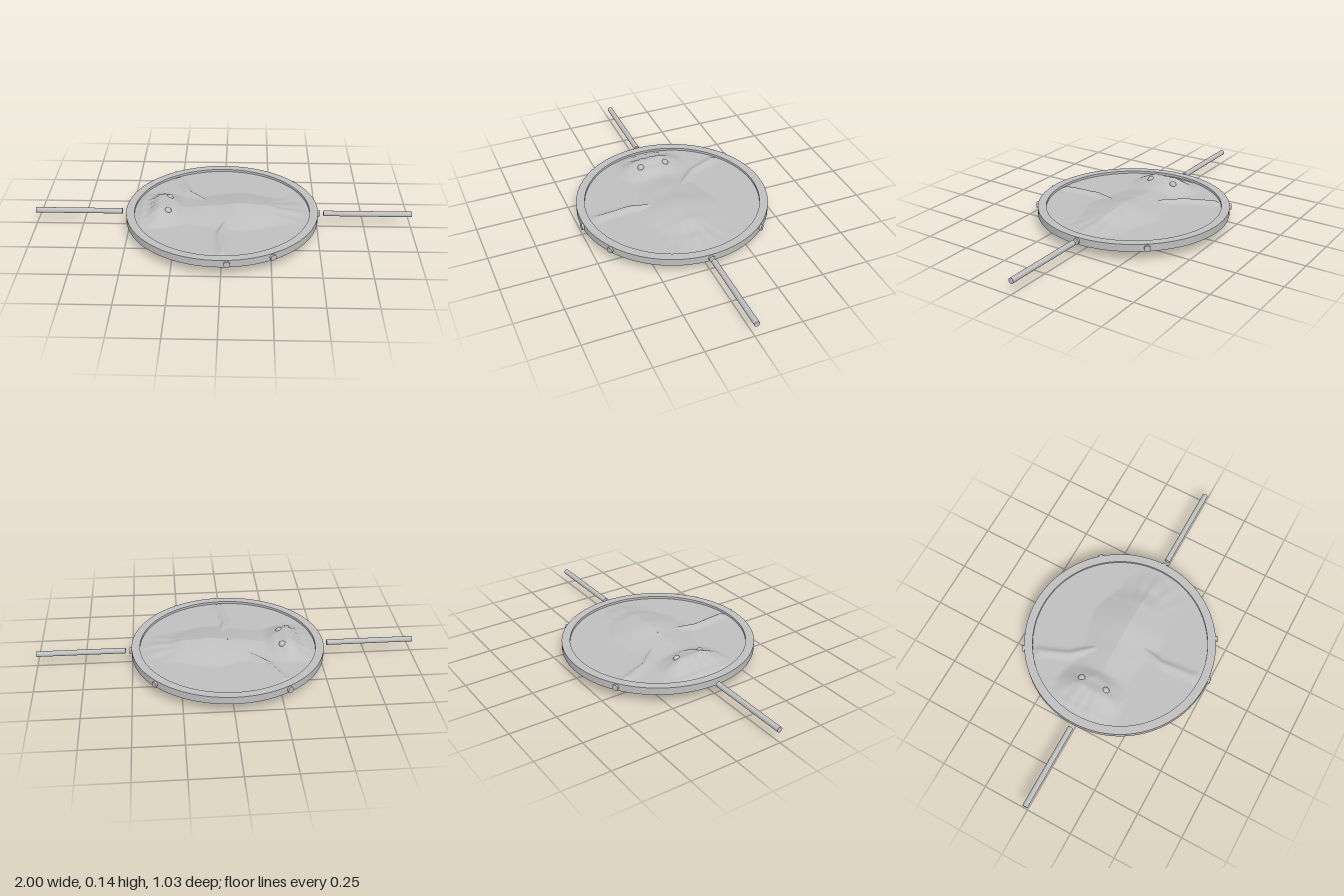
import * as THREE from 'three';

const grey = new THREE.MeshStandardMaterial({ color: 0xbfbfbf });
grey.name = 'plain grey';

const CX = -0.006, CZ = -0.007, MID = 0.077;
const R_OUT = 0.508, R_IN = 0.464;

// Profile keys along the body: [x, height]
const TOP = [[-0.47, 0], [-0.41, 0.015], [-0.32, 0.058], [-0.26, 0.044], [-0.19, 0.02], [-0.05, 0.033], [0.1, 0.049], [0.22, 0.042], [0.33, 0.018], [0.46, 0]];
const BOTTOM = [[-0.47, 0], [-0.41, 0.01], [-0.31, 0.048], [-0.1, 0.052], [0.13, 0.069], [0.22, 0.054], [0.35, 0.01], [0.46, 0]];
// Half-width keys along the body: [x, half width]
const TOP_WIDTH = [[-0.47, 0.2], [-0.3, 0.19], [-0.18, 0.15], [0.1, 0.21], [0.3, 0.15], [0.46, 0.1]];
const BOTTOM_WIDTH = [[-0.47, 0.2], [-0.3, 0.2], [-0.15, 0.2], [0.1, 0.28], [0.3, 0.18], [0.46, 0.1]];
// Limbs under the cloth: [x0, z0, x1, z1] from rim to body
const LIMBS = [[-0.27, -0.39, -0.19, -0.2], [-0.19, -0.2, -0.09, -0.09], [0.015, 0.45, -0.005, 0.24], [-0.005, 0.24, 0.03, 0.1]];

function sample(keys, x) {
  if (x <= keys[0][0]) return keys[0][1];
  for (let i = 1; i < keys.length; i++) {
    const [x0, a] = keys[i - 1], [x1, b] = keys[i];
    if (x <= x1) return a + (b - a) * THREE.MathUtils.smoothstep(x, x0, x1);
  }
  return keys[keys.length - 1][1];
}

function limbHeight(x, z) {
  let best = 0;
  for (const [x0, z0, x1, z1] of LIMBS) {
    const dx = x1 - x0, dz = z1 - z0;
    const t = THREE.MathUtils.clamp(((x - x0) * dx + (z - z0) * dz) / (dx * dx + dz * dz), 0, 1);
    const d = Math.hypot(x - x0 - t * dx, z - z0 - t * dz);
    best = Math.max(best, 0.017 * Math.exp(-((d / 0.018) ** 2)));
  }
  return best;
}

// Height of the cloth over the hidden body, with pleats at head and tail
function clothHeight(x, z, heights, widths) {
  const t = Math.abs(z) / sample(widths, x);
  const flat = THREE.MathUtils.smoothstep(-x, 0.18, 0.32) * 0.35;
  const u = THREE.MathUtils.clamp((t - flat) / (1 - flat), 0, 1);
  const body = sample(heights, x) * Math.pow(1 - u, 1.15) * (1 + 0.4 * u);
  const side = Math.exp(-((z / 0.15) ** 2));
  const head = Math.exp(-(((x + 0.38) / 0.06) ** 2)) * side;
  const tail = Math.exp(-(((x - 0.36) / 0.08) ** 2)) * side;
  const angle = Math.atan2(z, x < 0 ? x + 0.2 : x - 0.1);
  const pleats = 0.003 * Math.sin(angle * 22) * (head + tail);
  return Math.max(body, limbHeight(x, z)) + pleats;
}

function cloth(name, sign, heights, widths) {
  const geo = new THREE.RingGeometry(0.001, R_IN + 0.004, 160, 70);
  geo.rotateX(-sign * Math.PI / 2);
  const p = geo.attributes.position;
  for (let i = 0; i < p.count; i++) {
    const x = p.getX(i), z = p.getZ(i);
    const fade = 1 - THREE.MathUtils.smoothstep(Math.hypot(x, z), R_IN - 0.03, R_IN);
    p.setY(i, sign * (0.006 + fade * clothHeight(x, z, heights, widths)));
  }
  geo.computeVertexNormals();
  const mesh = new THREE.Mesh(geo, grey);
  mesh.name = name;
  mesh.position.set(CX, MID, CZ);
  return mesh;
}

export function createModel() {
  const model = new THREE.Group();
  model.name = 'stretchedHoop';
  const add = (name, geo, x, y, z) => {
    const mesh = new THREE.Mesh(geo, grey);
    mesh.name = name;
    mesh.position.set(x, y, z);
    model.add(mesh);
    return mesh;
  };

  // Hoop
  const shape = new THREE.Shape().absarc(0, 0, R_OUT, 0, Math.PI * 2);
  shape.holes.push(new THREE.Path().absarc(0, 0, R_IN, 0, Math.PI * 2, true));
  const hoop = new THREE.ExtrudeGeometry(shape, { depth: 0.039, bevelEnabled: false, curveSegments: 64 });
  hoop.rotateX(-Math.PI / 2);
  add('hoop', hoop, CX, 0.057, CZ);

  // Cloth layers wrapped above and below the body
  model.add(cloth('upperCloth', 1, TOP, TOP_WIDTH));
  model.add(cloth('lowerCloth', -1, BOTTOM, BOTTOM_WIDTH));

  // Eye studs on the head
  for (const z of [-0.08, 0.062]) {
    const stud = new THREE.SphereGeometry(0.019, 20, 14);
    add('eyeStud', stud, -0.288, 0.12, z);
  }

  // Pegs around the rim
  for (const [x, z] of [[0.51, -0.007], [0.39, -0.345], [-0.285, -0.445], [0.26, 0.44], [0.03, 0.51]]) {
    const a = Math.atan2(z - CZ, x - CX);
    const geo = new THREE.CylinderGeometry(0.016, 0.016, 0.03, 20);
    geo.rotateZ(-Math.PI / 2);
    geo.rotateY(-a);
    add('rimPeg', geo, CX + Math.cos(a) * 0.504, 0.076, CZ + Math.sin(a) * 0.504);
  }

  // Side rods, standing clear of the hoop
  for (const [name, x0, x1] of [['rightRod', -1, -0.537], ['leftRod', 0.533, 1]]) {
    const geo = new THREE.CylinderGeometry(0.0145, 0.0145, x1 - x0, 20);
    geo.rotateZ(Math.PI / 2);
    add(name, geo, (x0 + x1) / 2, 0.077, CZ);
  }
  return model;
}
